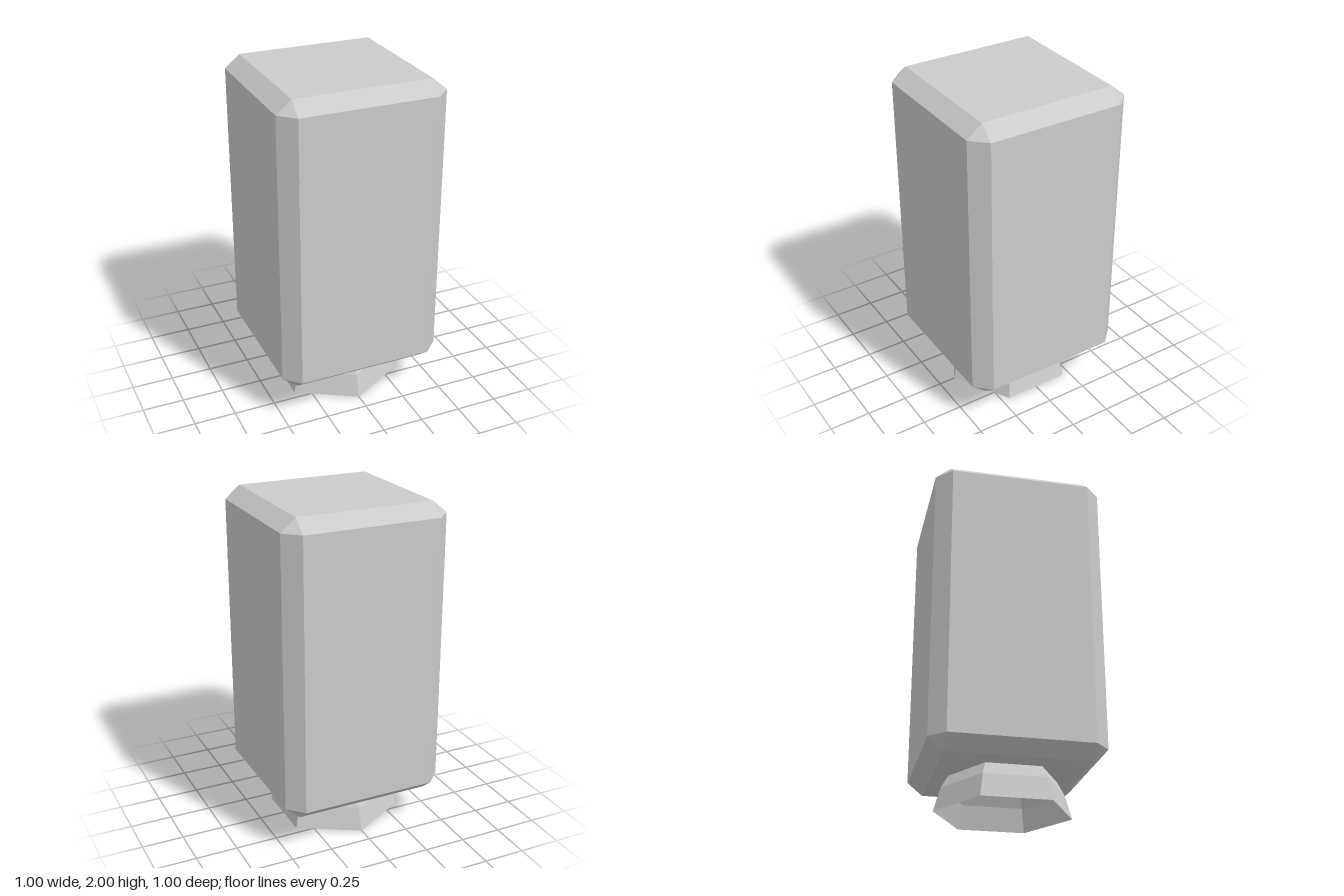
import * as THREE from 'three';
import { ConvexGeometry } from 'three/addons/geometries/ConvexGeometry.js';

// Box with every edge chamfered: three points at each of the eight corners
function chamferedBox(half, inset) {
  const points = [];
  for (const sx of [-1, 1]) for (const sy of [-1, 1]) for (const sz of [-1, 1]) {
    for (let axis = 0; axis < 3; axis++) {
      const p = half.map((h, i) => (i === axis ? h : h - inset[i]));
      points.push(new THREE.Vector3(sx * p[0], sy * p[1], sz * p[2]));
    }
  }
  return new ConvexGeometry(points);
}

export function createModel() {
  const group = new THREE.Group();

  // Tall block with bevelled edges
  const body = new THREE.Mesh(
    chamferedBox([0.5, 0.895, 0.5], [0.09, 0.075, 0.09]),
    new THREE.MeshStandardMaterial({ color: 0xcccccc, flatShading: true })
  );
  body.position.y = 1.105;
  body.name = 'body';
  group.add(body);

  // Six-sided flared skirt, open underneath, corners on the z axis
  const profile = [[0.4, 0], [0.36, 0.138], [0.318, 0.212]].map(([r, y]) => new THREE.Vector2(r, y));
  const foot = new THREE.Mesh(
    new THREE.LatheGeometry(profile, 6),
    new THREE.MeshStandardMaterial({ color: 0xcccccc, flatShading: true, side: THREE.DoubleSide })
  );
  foot.name = 'foot';
  group.add(foot);

  return group;
}
